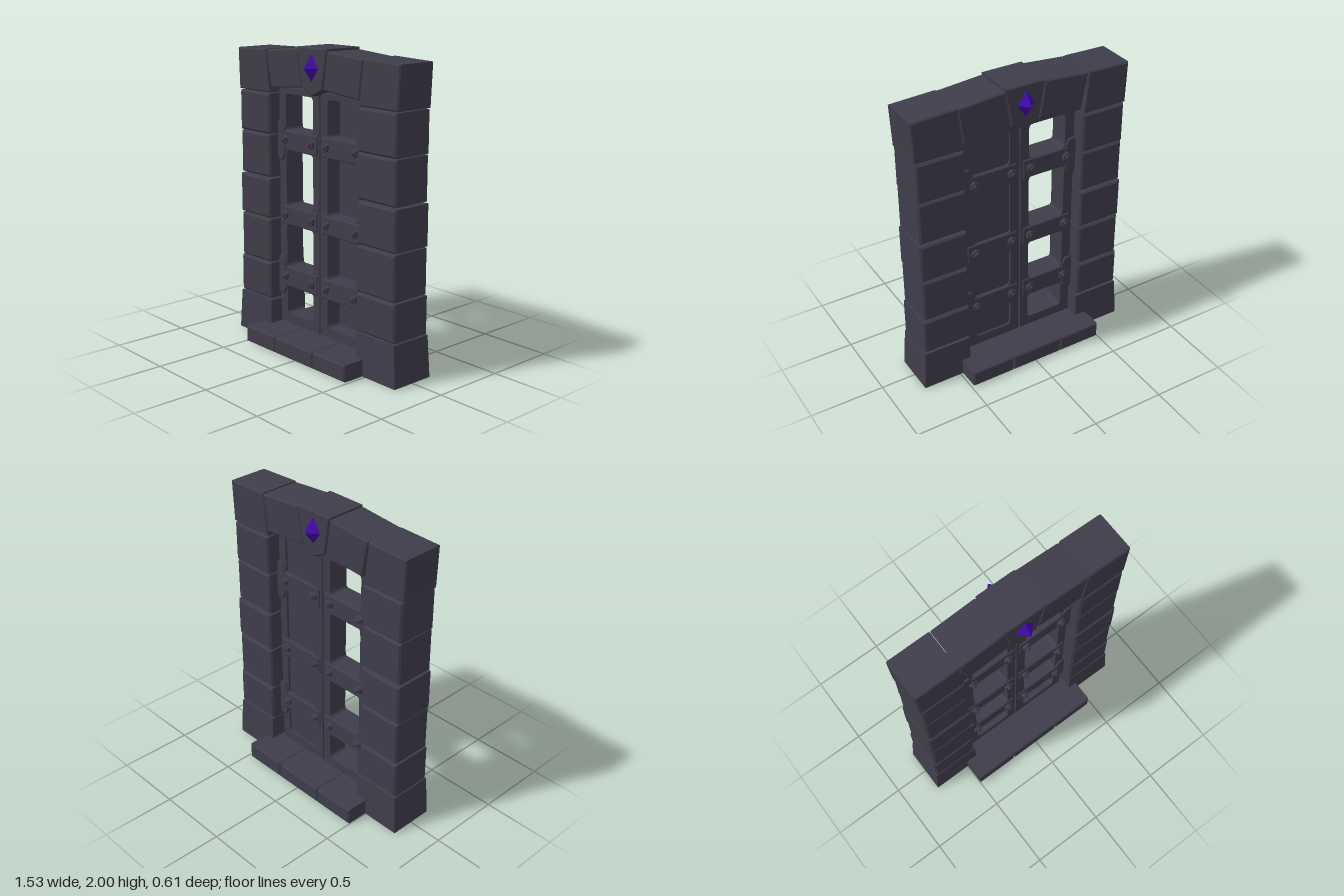
import * as THREE from 'three';

const stone = new THREE.MeshStandardMaterial({ color: 0x403d4b });
stone.name = 'darkStone';
const openStone = stone;
openStone.side = THREE.DoubleSide;
const purple = new THREE.MeshStandardMaterial({ color: 0x440aa8 });
purple.name = 'purpleGem';

function add(parent, name, geometry, material = stone) {
  const mesh = new THREE.Mesh(geometry, material);
  mesh.name = name;
  parent.add(mesh);
  return mesh;
}

// Prism from an outline in x/y, between z0 and z1, with chamfered edges
function prism(points, z0, z1, bevel = 0.01, holes = []) {
  const shape = new THREE.Shape(points.map(([x, y]) => new THREE.Vector2(x, y)));
  shape.holes = holes;
  const geometry = new THREE.ExtrudeGeometry(shape, {
    depth: z1 - z0 - 2 * bevel, bevelEnabled: bevel > 0, bevelThickness: bevel,
    bevelSize: bevel, bevelOffset: -bevel, bevelSegments: 1, curveSegments: 4,
  });
  return geometry.translate(0, 0, z0 + bevel);
}

const rect = (x0, y0, x1, y1) => [[x0, y0], [x1, y0], [x1, y1], [x0, y1]];

// Window opening with rounded corners
function roundedHole(x0, y0, x1, y1, r) {
  const p = new THREE.Path();
  p.moveTo(x0 + r, y0);
  p.lineTo(x1 - r, y0).quadraticCurveTo(x1, y0, x1, y0 + r);
  p.lineTo(x1, y1 - r).quadraticCurveTo(x1, y1, x1 - r, y1);
  p.lineTo(x0 + r, y1).quadraticCurveTo(x0, y1, x0, y1 - r);
  p.lineTo(x0, y0 + r).quadraticCurveTo(x0, y0, x0 + r, y0);
  return p;
}

// Tapered base block, hollow underneath
function baseBlock(side) {
  const g = new THREE.BoxGeometry(1, 1, 1);
  const pos = g.attributes.position;
  for (let i = 0; i < pos.count; i++) {
    const top = pos.getY(i) > 0;
    const outer = pos.getX(i) * side > 0;
    pos.setXYZ(i, side * (outer ? (top ? 0.745 : 0.763) : 0.42),
      top ? 0.273 : 0, Math.sign(pos.getZ(i)) * (top ? 0.147 : 0.154));
  }
  const index = Array.from(g.index.array);
  index.splice(18, 6);
  g.setIndex(index);
  g.clearGroups();
  g.computeVertexNormals();
  return g;
}

const WINDOWS = [[0.185, 0.38], [0.515, 0.81], [0.935, 1.31], [1.44, 1.68]];
const RAILS = [[0.38, 0.515, 0.45], [0.81, 0.935, 0.875], [1.31, 1.44, 1.38]];

// One door leaf; outward is -1 or +1, the side with the hinges
function door(name, x0, x1, outward, filled) {
  const leaf = new THREE.Group();
  leaf.name = name;
  const left = x0 + 0.066, right = x1 - 0.06;
  const holes = WINDOWS.map(([a, b]) => roundedHole(left, a, right, b, 0.03));
  add(leaf, 'doorFrame', prism(rect(x0, 0.12, x1, 1.72), -0.07, 0.07, 0, holes));
  if (filled) {
    const panel = add(leaf, 'doorPanel', new THREE.BoxGeometry(right - left + 0.04, 1.54, 0.02));
    panel.position.set((left + right) / 2, 0.93, -0.045);
  }
  const hingeX = outward < 0 ? x0 - 0.01 : x1 + 0.016;
  for (const z of [-1, 1]) {
    const near = (a, b) => (z > 0 ? [a, b] : [-b, -a]);
    for (const [y0, y1, boltY] of RAILS) {
      // Iron strap across the leaf
      add(leaf, 'strap', prism(rect(x0 + 0.02, y0, x1 - 0.015, y1), ...near(0.06, 0.08), 0.006));
      for (const x of [left - 0.003, right - 0.006]) {
        const washer = add(leaf, 'boltWasher', new THREE.CylinderGeometry(0.028, 0.033, 0.018, 6).toNonIndexed());
        washer.geometry.computeVertexNormals();
        washer.rotation.x = z * Math.PI / 2;
        washer.position.set(x, boltY, z * 0.088);
        const cap = add(leaf, 'boltHead', new THREE.CylinderGeometry(0.012, 0.019, 0.014, 6).toNonIndexed());
        cap.geometry.computeVertexNormals();
        cap.rotation.x = z * Math.PI / 2;
        cap.position.set(x, boltY, z * 0.103);
      }
    }
  }
  // Hinge plates wrap around the outer edge
  for (const y of [0.45, 1.37]) {
    const inner = hingeX - outward * 0.072;
    const outline = [[hingeX, y - 0.11], [hingeX, y + 0.115], [hingeX - outward * 0.015, y + 0.13],
      [hingeX - outward * 0.05, y + 0.13], [inner, y + 0.09], [inner, y - 0.09],
      [hingeX - outward * 0.05, y - 0.13], [hingeX - outward * 0.015, y - 0.13]];
    add(leaf, 'hingePlate', prism(outline, -0.083, 0.083, 0.005));
  }
  return leaf;
}

export function createModel() {
  const model = new THREE.Group();
  model.name = 'stoneDoorway';

  // Pillars: bottom, top, outer edge, half depth of each block
  const courses = [
    [0.282, 0.53, 0.743, 0.147], [0.538, 0.832, 0.735, 0.144], [0.842, 1.108, 0.74, 0.146],
    [1.12, 1.403, 0.733, 0.14], [1.41, 1.676, 0.735, 0.143],
  ];
  for (const side of [-1, 1]) {
    const pillar = new THREE.Group();
    pillar.name = side < 0 ? 'rightPillar' : 'leftPillar';
    add(pillar, 'pillarBase', baseBlock(side), openStone);
    const inner = side < 0 ? -0.428 : 0.415;
    for (const [y0, y1, outer, depth] of courses) {
      const xs = [inner, side * outer].sort((a, b) => a - b);
      add(pillar, 'pillarBlock', prism(rect(xs[0], y0, xs[1], y1), -depth, depth, 0.012));
    }
    model.add(pillar);
  }

  // Flat arch with keystone
  const arch = new THREE.Group();
  arch.name = 'arch';
  const archBlocks = [
    ['rightCornerStone', [[-0.743, 1.684], [-0.428, 1.684], [-0.458, 1.963], [-0.753, 1.957]], 0.14],
    ['rightArchStone', [[-0.408, 1.718], [-0.105, 1.745], [-0.143, 1.988], [-0.455, 1.96]], 0.139],
    ['keystone', [[-0.007, 1.7], [0.088, 1.745], [0.135, 2], [-0.143, 2], [-0.1, 1.745]], 0.141],
    ['leftArchStone', [[0.093, 1.745], [0.415, 1.718], [0.447, 1.96], [0.133, 1.985]], 0.139],
    ['leftCornerStone', [[0.415, 1.684], [0.742, 1.684], [0.755, 1.955], [0.45, 1.967]], 0.14],
  ];
  for (const [name, outline, depth] of archBlocks) {
    add(arch, name, prism(outline, -depth, depth, 0.008));
  }
  model.add(arch);

  // Gems set into both faces of the keystone
  for (const z of [-1, 1]) {
    const gem = add(model, z > 0 ? 'frontGem' : 'backGem', new THREE.OctahedronGeometry(1), purple);
    gem.scale.set(0.072, 0.1, 0.075);
    gem.position.set(-0.006, 1.875, z * 0.13);
  }

  // Threshold slabs
  for (const [x0, x1] of [[-0.497, -0.197], [-0.193, 0.175], [0.179, 0.48]]) {
    add(model, 'thresholdSlab', prism(rect(x0, 0, x1, 0.11), -0.307, 0.307, 0.008));
  }

  // Double door: one leaf barred and open, the other panelled
  model.add(door('rightDoor', -0.408, -0.015, -1, false));
  model.add(door('leftDoor', -0.005, 0.39, 1, true));
  return model;
}
